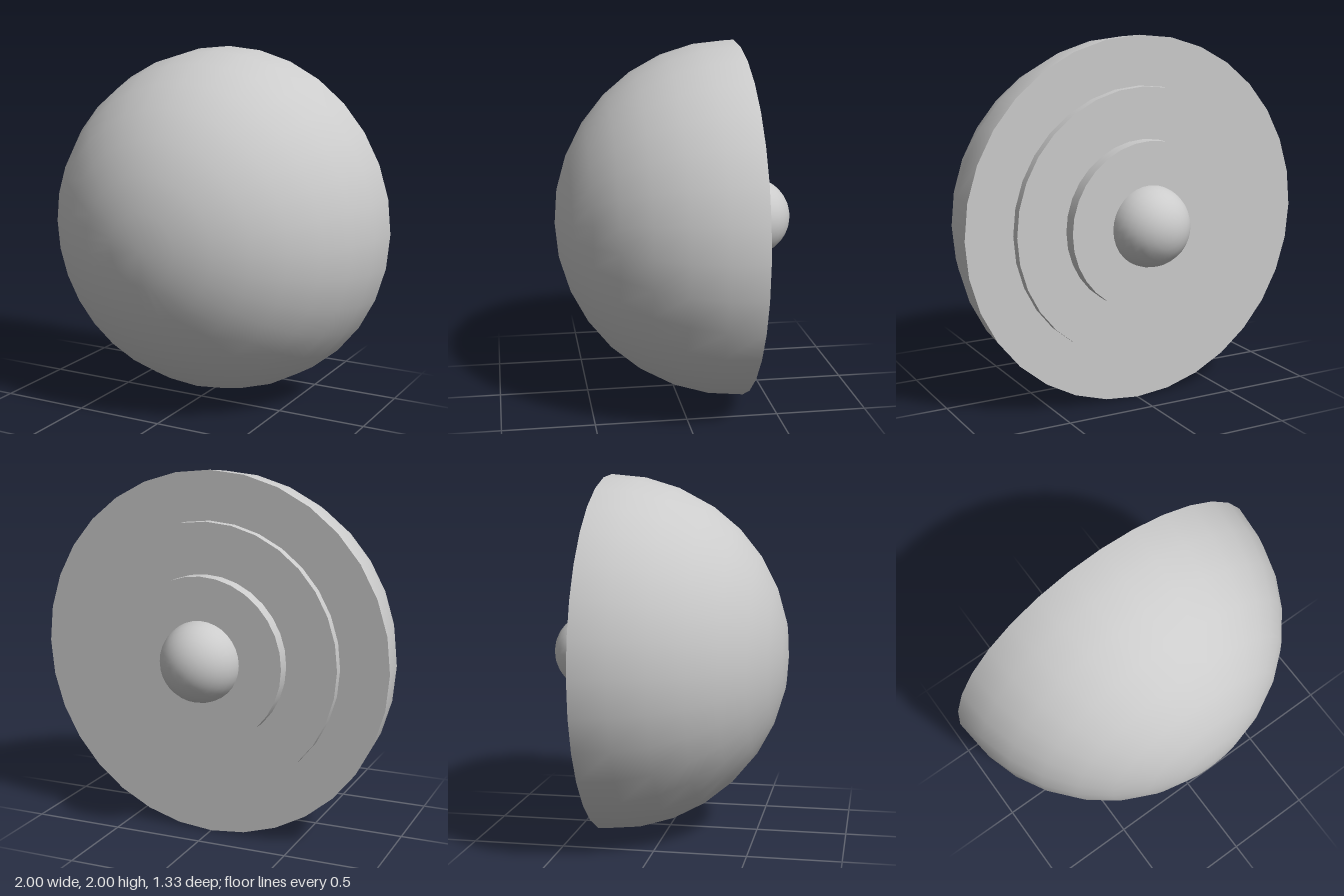
import * as THREE from 'three';

const SIDES = 32;
const RIM_Z = -0.333;

export function createModel() {
  const model = new THREE.Group();
  const grey = new THREE.MeshStandardMaterial({ color: 0xcccccc });

  const add = (name, geometry, z) => {
    const mesh = new THREE.Mesh(geometry, grey);
    mesh.name = name;
    mesh.position.set(0, 1, z);
    model.add(mesh);
  };

  // Round disc along z, reaching from the front z to the back z
  const addDisc = (name, radius, front, back) => add(
    name,
    new THREE.CylinderGeometry(radius, radius, front - back, SIDES).rotateX(Math.PI / 2),
    (front + back) / 2
  );

  // Large dome bulging to the front, closed by a flat back face
  add('dome', new THREE.SphereGeometry(1, SIDES, 8, 0, Math.PI * 2, 0, Math.PI / 2).rotateX(Math.PI / 2), RIM_Z);
  add('domeBackFace', new THREE.CircleGeometry(1, SIDES).rotateY(Math.PI), RIM_Z);

  // Stepped discs on the back
  addDisc('largeDisc', 0.735, RIM_Z, -0.383);
  addDisc('smallDisc', 0.457, -0.383, -0.458);

  // Round knob set into the small disc
  add('knob', new THREE.SphereGeometry(0.222, SIDES, 16).rotateX(Math.PI / 2), -0.445);

  return model;
}
